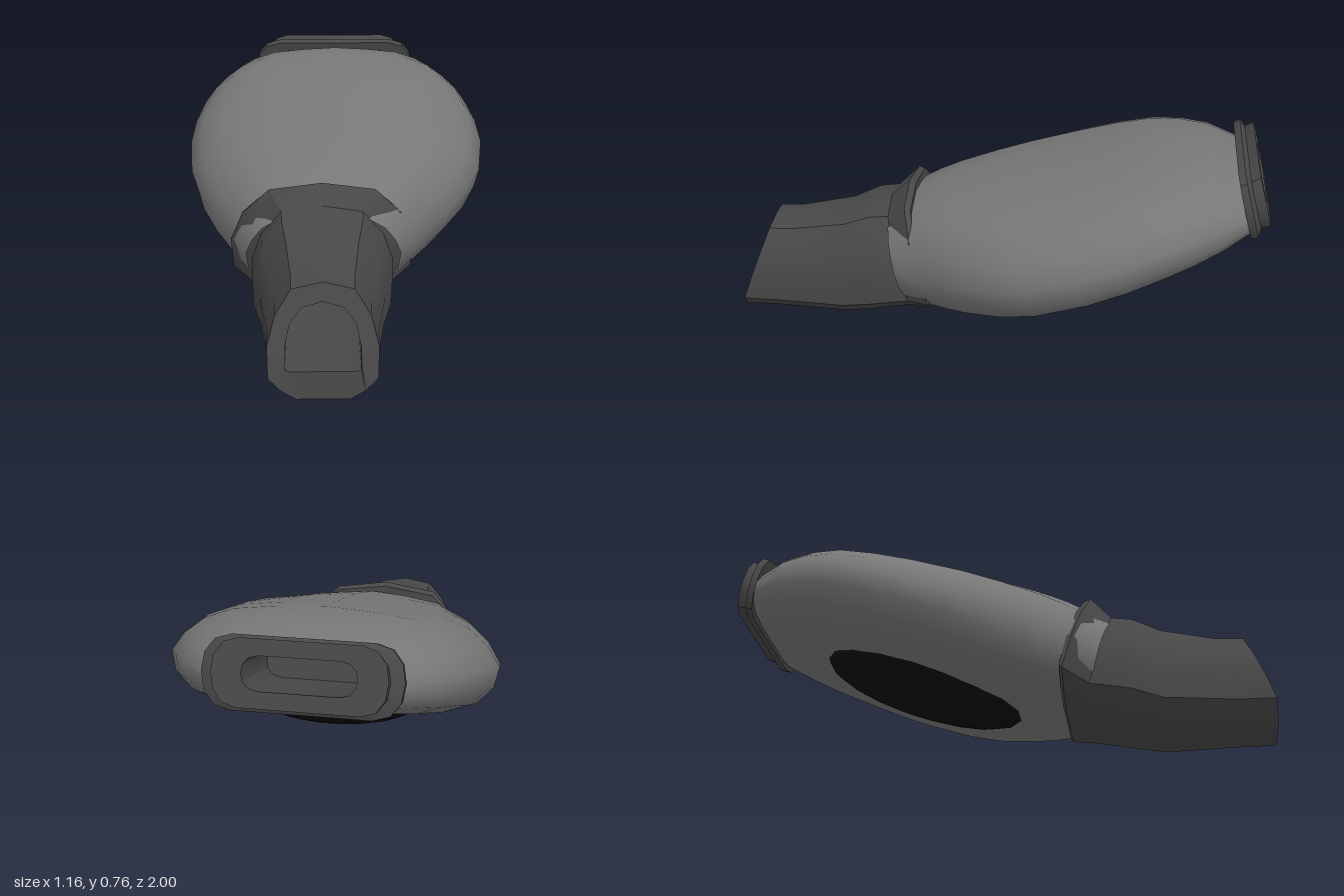
import * as THREE from 'three';
import { toCreasedNormals } from 'three/addons/utils/BufferGeometryUtils.js';

const TILT = 0.262;

// Full ring from a half profile that runs from the top centre to the bottom centre.
function mirrorHalf(half) {
  return [...half, ...half.slice(1, -1).reverse().map(([x, t]) => [-x, t])];
}

// Skin a list of equal-length rings, optionally closing either end.
function loft(rings, { capStart = false, capEnd = false, crease = 0.7 } = {}) {
  const n = rings[0].length, pos = rings.flat(2), index = [];
  for (let i = 0; i < rings.length - 1; i++) {
    for (let j = 0; j < n; j++) {
      const k = (j + 1) % n, a = i * n + j, b = i * n + k;
      index.push(a, b, b + n, a, b + n, a + n);
    }
  }
  const cap = (ring, first, flip) => {
    const c = [0, 1, 2].map((m) => ring.reduce((sum, p) => sum + p[m], 0) / n);
    const centre = pos.length / 3;
    pos.push(...c);
    for (let j = 0; j < n; j++) {
      const k = (j + 1) % n;
      index.push(centre, first + (flip ? k : j), first + (flip ? j : k));
    }
  };
  if (capStart) cap(rings[0], 0, true);
  if (capEnd) cap(rings[rings.length - 1], (rings.length - 1) * n, false);
  const g = new THREE.BufferGeometry();
  g.setAttribute('position', new THREE.Float32BufferAttribute(pos, 3));
  g.setIndex(index);
  return toCreasedNormals(g, crease);
}

// Ring standing across the tilted axis: [distance, centre x, half width, top, bottom]
const acrossAxis = (profile) => ([s, cx, hw, top, bot]) =>
  profile.map(([x, t]) => [cx + x * hw, bot + t * (top - bot), s]);

export function createModel() {
  const model = new THREE.Group();
  const mat = (name, color) => new THREE.MeshStandardMaterial({ name, color });
  const shellGrey = mat('shell grey', 0x777777);
  const rubberGrey = mat('rubber grey', 0x484848);
  const padBlack = mat('pad black', 0x0c0c0c);
  const add = (parent, name, geometry, material) => {
    const mesh = new THREE.Mesh(geometry, material);
    mesh.name = name;
    parent.add(mesh);
    return mesh;
  };

  const upper = new THREE.Group();
  upper.name = 'tiltedBody';
  upper.rotation.x = TILT;
  model.add(upper);

  // Broad flattened shell
  const shellProfile = mirrorHalf([
    [0, 1], [0.32, 0.97], [0.6, 0.92], [0.79, 0.81], [0.92, 0.65], [1, 0.47],
    [0.97, 0.27], [0.87, 0.12], [0.7, 0.03], [0.4, 0], [0, 0],
  ]);
  const shellSections = [
    [0.3, -0.055, 0.28, 0.53, 0.21],
    [0.21, -0.05, 0.335, 0.557, 0.18],
    [0.13, -0.04, 0.385, 0.572, 0.17],
    [0.046, -0.03, 0.44, 0.578, 0.166],
    [-0.1, -0.015, 0.515, 0.58, 0.164],
    [-0.234, -0.005, 0.562, 0.58, 0.172],
    [-0.43, 0, 0.582, 0.58, 0.19],
    [-0.58, 0, 0.57, 0.58, 0.207],
    [-0.72, 0, 0.538, 0.577, 0.226],
    [-0.83, 0, 0.49, 0.56, 0.237],
    [-0.928, 0, 0.43, 0.53, 0.25],
    [-1.04, 0, 0.325, 0.468, 0.266],
  ];
  add(upper, 'shell', loft(shellSections.map(acrossAxis(shellProfile)), { crease: 0.9 }), shellGrey);

  // Low domed pad under the shell
  const pad = add(upper, 'undersidePad', new THREE.SphereGeometry(1, 18, 12), padBlack);
  pad.scale.set(0.28, 0.078, 0.4);
  pad.position.set(0, 0.203, -0.37);
  pad.rotation.x = 0.064;

  // Rear mouth: stepped flange with a wide slot
  const slotProfile = mirrorHalf([
    [0, 1], [0.7, 1], [0.87, 0.93], [0.97, 0.75], [1, 0.5],
    [0.97, 0.25], [0.87, 0.07], [0.7, 0], [0, 0],
  ]);
  const mouthSections = [
    [-1.03, 0, 0.28, 0.46, 0.28],
    [-1.03, 0, 0.335, 0.497, 0.25],
    [-1.056, 0, 0.335, 0.5, 0.25],
    [-1.07, 0, 0.29, 0.483, 0.268],
    [-1.106, 0, 0.29, 0.495, 0.268],
    [-1.106, 0, 0.19, 0.44, 0.325],
    [-0.75, 0, 0.19, 0.44, 0.325],
  ];
  add(upper, 'rearMouth', loft(mouthSections.map(acrossAxis(slotProfile)), { capEnd: true, crease: 0.5 }), rubberGrey);

  // Front spout: arched bore, slanted face, then a flared collar around the shell
  const spoutX = -0.06;
  const bore = mirrorHalf([
    [0, 0.31], [0.07, 0.29], [0.11, 0.24], [0.125, 0.17],
    [0.125, 0.13], [0.125, 0.1], [0.11, 0.095], [0, 0.095],
  ]);
  const faceZ = (y) => 1 - Math.max(0, (y - 0.07) / 0.3) * 0.11;
  const boreRing = (depth) => bore.map(([x, y]) => [spoutX + x, y, depth ?? faceZ(y)]);
  const spoutProfile = mirrorHalf([
    [0, 1], [0.57, 0.94], [0.86, 0.72], [1, 0.46],
    [0.98, 0.2], [0.75, 0.08], [0.48, 0], [0, 0],
  ]);
  // [top z, top y, bottom z, bottom y, half width]
  const spoutSections = [
    [0.89, 0.37, 1, 0, 0.185],
    [0.8, 0.375, 0.86, 0, 0.188],
    [0.6, 0.415, 0.6, 0, 0.22],
    [0.5, 0.46, 0.49, 0.025, 0.25],
    [0.43, 0.468, 0.34, 0.055, 0.255],
    [0.36, 0.53, 0.25, 0.08, 0.335],
    [0.335, 0.52, 0.24, 0.095, 0.335],
    [0.335, 0.48, 0.25, 0.14, 0.27],
  ];
  const spoutRing = ([zt, yt, zb, yb, hw]) => spoutProfile.map(([x, t]) => [
    spoutX + x * hw, yb + t * (yt - yb), zb + Math.max(0, (t - 0.19) / 0.81) * (zt - zb),
  ]);
  add(model, 'spout', loft(
    [boreRing(0.42), boreRing(), ...spoutSections.map(spoutRing)],
    { capStart: true, capEnd: true, crease: 0.6 },
  ), rubberGrey);

  return model;
}
